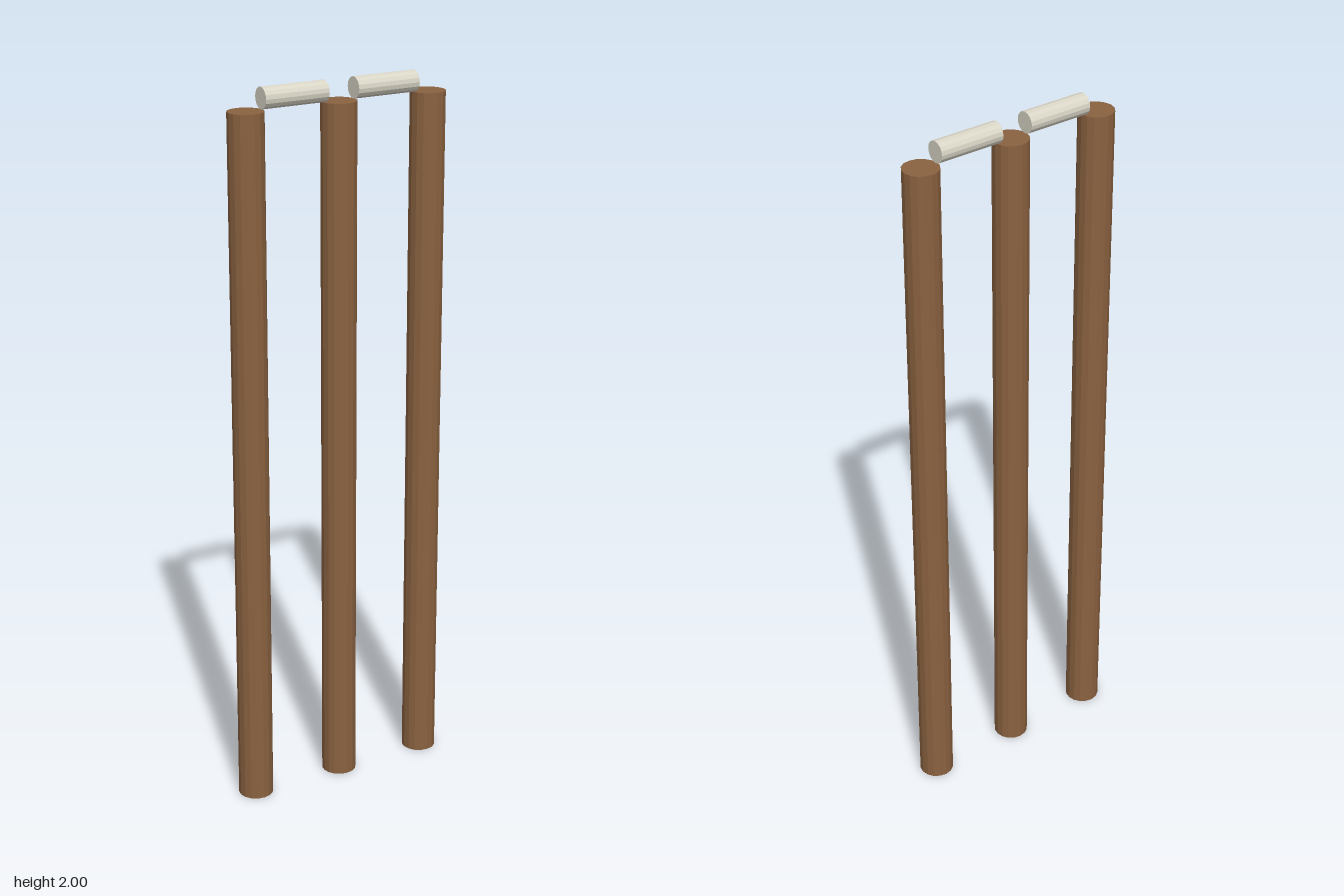
import * as THREE from 'three';

export function createModel() {
  const wood = new THREE.MeshStandardMaterial({ color: 0x8a6240, flatShading: true });
  wood.name = 'brown wood';
  const pale = new THREE.MeshStandardMaterial({ color: 0xd9d5c6, flatShading: true });
  pale.name = 'pale wood';

  const model = new THREE.Group();
  model.name = 'wicket';

  // Three upright stumps
  const stumpHeight = 1.942, spacing = 0.273;
  const stumpGeometry = new THREE.CylinderGeometry(0.0485, 0.0485, stumpHeight, 16);
  ['rightStump', 'middleStump', 'leftStump'].forEach((name, i) => {
    const stump = new THREE.Mesh(stumpGeometry, wood);
    stump.name = name;
    stump.position.set((i - 1) * spacing, stumpHeight / 2, 0);
    model.add(stump);
  });

  // Two bails lying across the gaps
  const bailRadius = 0.029;
  const bailGeometry = new THREE.CylinderGeometry(bailRadius, bailRadius, 0.185, 16).rotateZ(Math.PI / 2);
  for (const side of [-1, 1]) {
    const bail = new THREE.Mesh(bailGeometry, pale);
    bail.name = side < 0 ? 'rightBail' : 'leftBail';
    bail.position.set(side * spacing / 2, stumpHeight + bailRadius, 0);
    model.add(bail);
  }
  return model;
}
